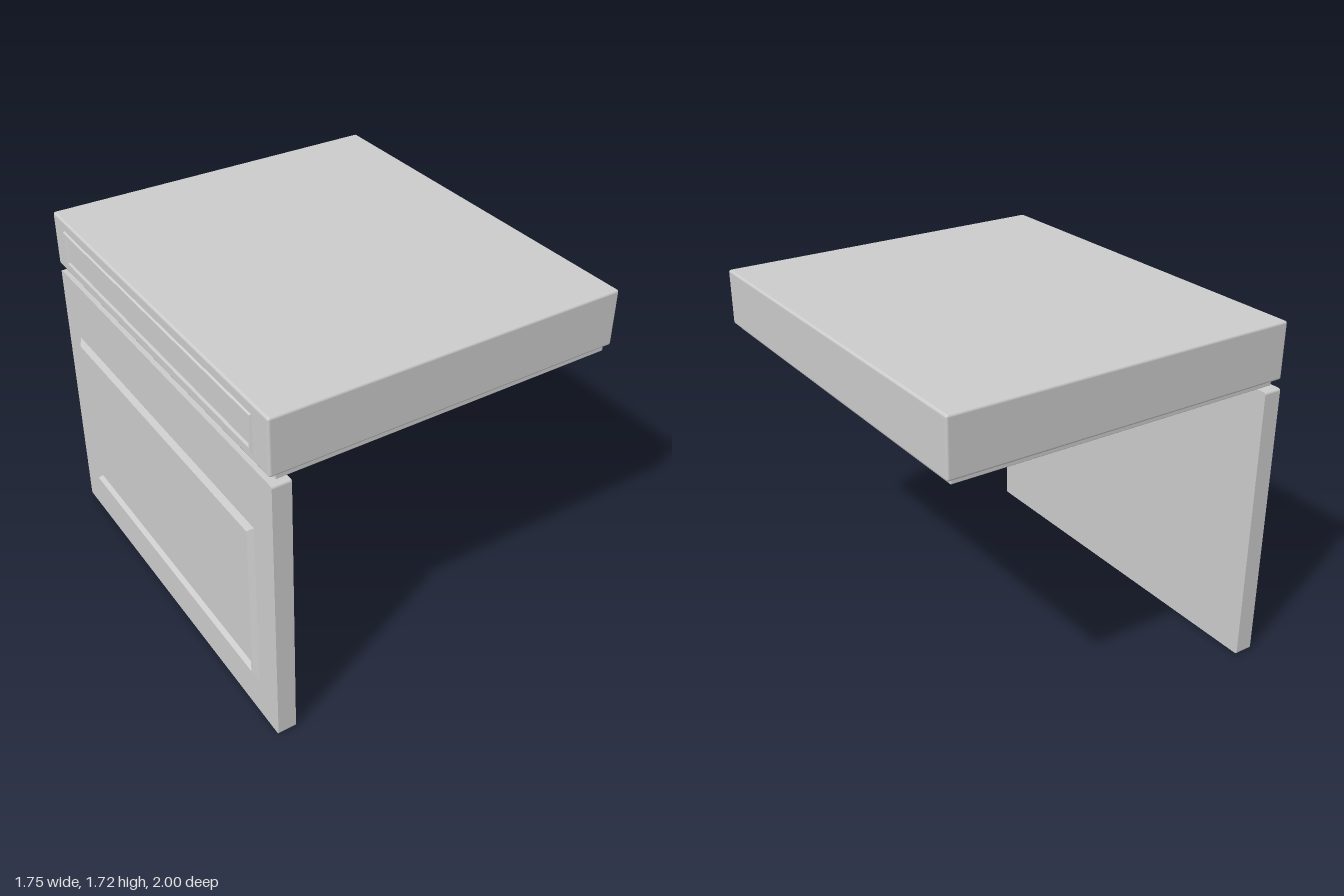
import * as THREE from 'three';
import { RoundedBoxGeometry } from 'three/addons/geometries/RoundedBoxGeometry.js';

const material = new THREE.MeshStandardMaterial({ color: 0xcccccc });

// Box given by its limits, with softly rounded edges
function roundedBox(name, [x0, x1], [y0, y1], [z0, z1], radius) {
  const mesh = new THREE.Mesh(new RoundedBoxGeometry(x1 - x0, y1 - y0, z1 - z0, 3, radius), material);
  mesh.position.set((x0 + x1) / 2, (y0 + y1) / 2, (z0 + z1) / 2);
  mesh.name = name;
  return mesh;
}

// Mitred rectangular moulding facing -x; steps are [inset, x] from its outer edge inwards
function moulding(name, halfZ, y0, y1, steps) {
  const corners = [[-1, -1], [1, -1], [1, 1], [-1, 1]];
  const midY = (y0 + y1) / 2, halfY = (y1 - y0) / 2;
  const loops = steps.map(([inset, x]) =>
    corners.map(([sz, sy]) => [x, midY + sy * (halfY - inset), sz * (halfZ - inset)]));
  const positions = [];
  for (let s = 0; s < loops.length - 1; s++) {
    for (let i = 0; i < 4; i++) {
      const j = (i + 1) % 4;
      const a = loops[s][i], b = loops[s][j], c = loops[s + 1][j], d = loops[s + 1][i];
      positions.push(...a, ...b, ...c, ...a, ...c, ...d);
    }
  }
  const geometry = new THREE.BufferGeometry();
  geometry.setAttribute('position', new THREE.Float32BufferAttribute(positions, 3));
  geometry.computeVertexNormals();
  const mesh = new THREE.Mesh(geometry, material);
  mesh.name = name;
  return mesh;
}

// Upright panel: square faces, with corners rounded only in its outline
function sidePanel() {
  const r = 0.012, w = 1, h = 1.4;
  const shape = new THREE.Shape();
  shape.moveTo(-w + r, 0);
  shape.lineTo(w - r, 0);
  shape.absarc(w - r, r, r, -Math.PI / 2, 0);
  shape.absarc(w - r, h - r, r, 0, Math.PI / 2);
  shape.absarc(-w + r, h - r, r, Math.PI / 2, Math.PI);
  shape.absarc(-w + r, r, r, Math.PI, Math.PI * 1.5);
  const geometry = new THREE.ExtrudeGeometry(shape, { depth: 0.09, bevelEnabled: false, curveSegments: 3 });
  geometry.rotateY(Math.PI / 2);
  const mesh = new THREE.Mesh(geometry, material);
  mesh.position.x = -0.855;
  mesh.name = 'sidePanel';
  return mesh;
}

export function createModel() {
  const group = new THREE.Group();
  group.name = 'desk';

  // Thick top with a stepped-in board beneath it
  group.add(roundedBox('top', [-0.86, 0.87], [1.44, 1.715], [-0.995, 0.995], 0.012));
  group.add(roundedBox('underBoard', [-0.825, 0.84], [1.412, 1.45], [-0.97, 0.98], 0.004));

  // Single upright support
  group.add(sidePanel());

  // Raised mouldings on the outer side
  group.add(moulding('panelMoulding', 0.85, 0.2, 1.09,
    [[0, -0.854], [0.03, -0.875], [0.04, -0.875], [0.06, -0.854]]));
  group.add(moulding('topMoulding', 0.875, 1.482, 1.665,
    [[0, -0.859], [0.006, -0.868], [0.018, -0.868], [0.03, -0.859]]));

  return group;
}
